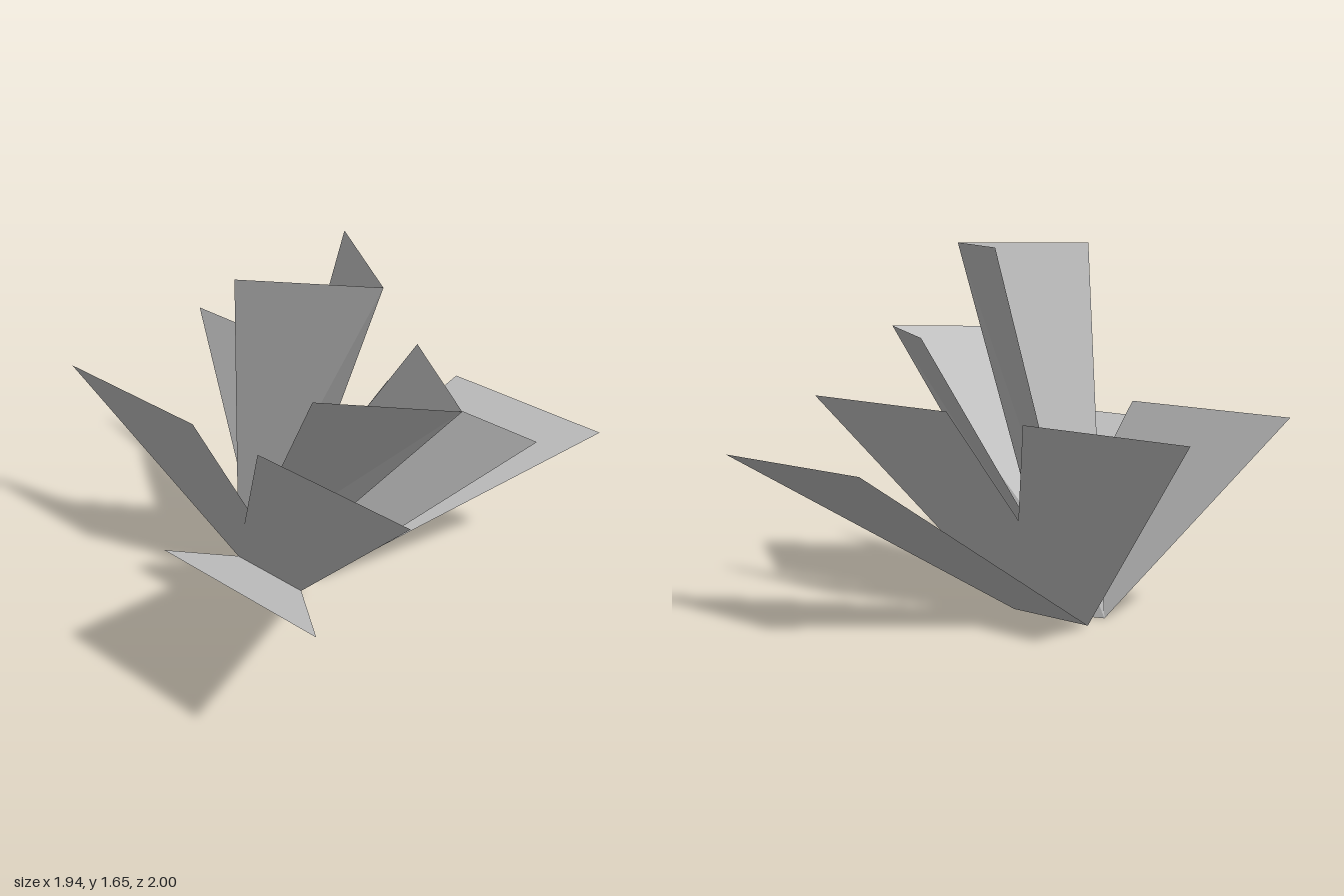
import * as THREE from 'three';

const material = new THREE.MeshStandardMaterial({
  color: 0xcccccc, flatShading: true, side: THREE.DoubleSide,
});

// Four-cornered panels, each split along its first-to-third corner diagonal
function panels(name, quads) {
  const points = quads.flatMap(([a, b, c, d]) => [a, b, c, a, c, d]).flat();
  const geometry = new THREE.BufferGeometry();
  geometry.setAttribute('position', new THREE.Float32BufferAttribute(points, 3));
  geometry.computeVertexNormals();
  const mesh = new THREE.Mesh(geometry, material);
  mesh.name = name;
  return mesh;
}

export function createModel() {
  const group = new THREE.Group();
  group.name = 'plant';
  const baseX = 0.065, baseFront = 0.12, baseBack = -0.29, baseFold = -0.08;

  // Flat leaves with both ends running along z: tip x, tip y, tip z front and back
  const flatLeaves = [
    ['outerLeaf', 0.97, 0.76, 1, 0.2],
    ['middleLeaf', 0.43, 0.955, 1, 0.2],
    ['backLeaf', 0.415, 0.935, -0.2, -1],
  ];
  for (const [name, x, y, front, back] of flatLeaves) {
    for (const [side, s] of [['Left', 1], ['Right', -1]]) {
      group.add(panels(name + side, [[
        [s * baseX, 0, baseFront], [s * baseX, 0, baseBack],
        [s * x, y, back], [s * x, y, front],
      ]]));
    }
  }

  // Upright leaves folded along the middle: tip y, fold z, outer edge z
  const foldedLeaves = [
    ['tallFoldedLeaf', 1.655, 0.49, 0],
    ['frontFoldedLeaf', 1.25, 0.905, 0.42],
  ];
  for (const [name, y, foldZ, edgeZ] of foldedLeaves) {
    group.add(panels(name, [1, -1].map((s) => [
      [s * baseX, 0, baseBack], [s * 0.34, y, edgeZ],
      [0, y, foldZ], [0, 0, baseFold],
    ])));
  }
  return group;
}
